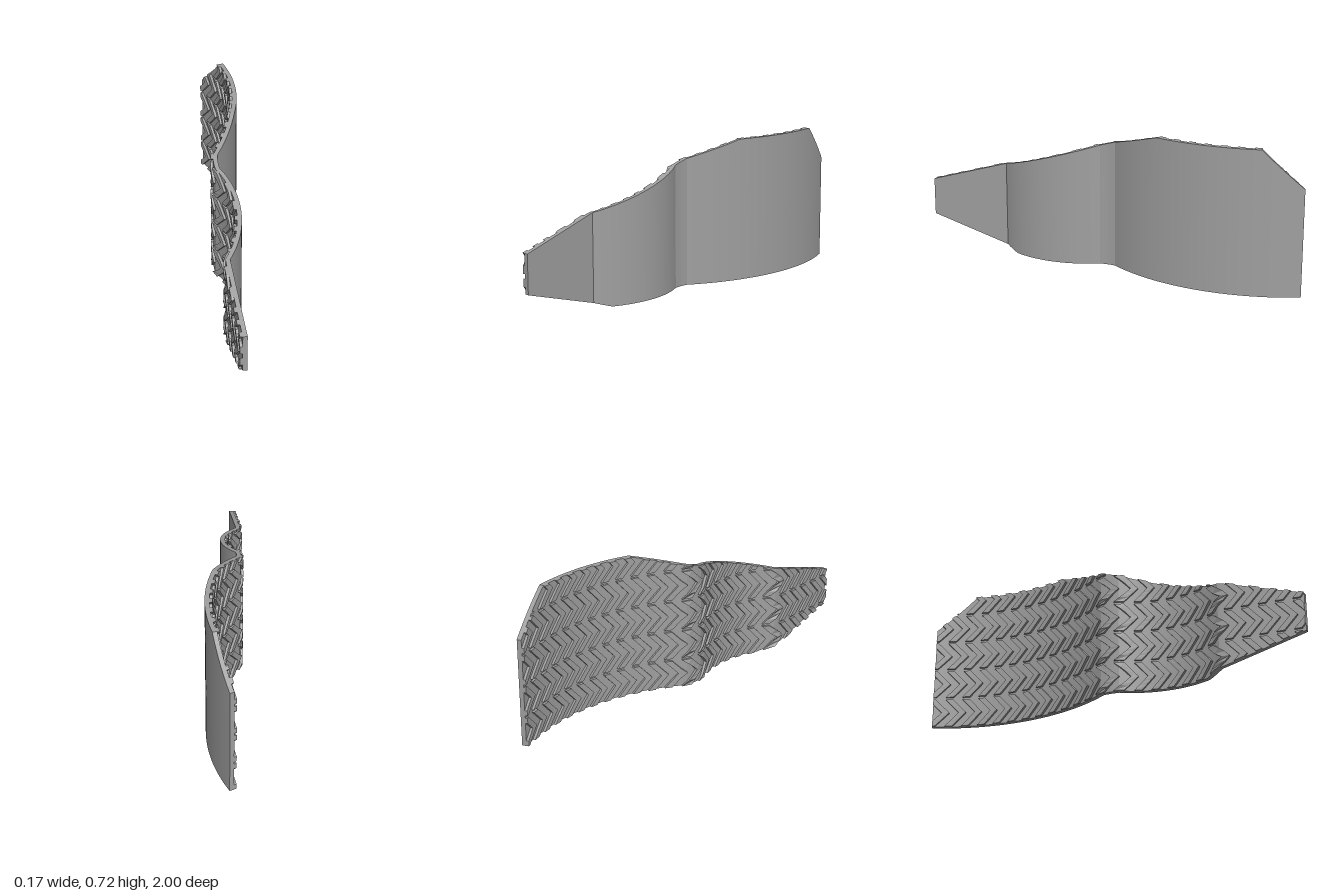
import * as THREE from 'three';
import { mergeGeometries, toCreasedNormals } from 'three/addons/utils/BufferGeometryUtils.js';

const THICK = 0.022;      // panel thickness
const RIB = 0.0125;       // how far the ribs stand out
const clamp = THREE.MathUtils.clamp;

// Side outline as (z, y), convex and counter-clockwise
const OUTLINE = [[-1, 0], [0.51, 0], [1, 0.147], [1, 0.337], [-0.285, 0.722], [-0.81, 0.722], [-1, 0.535]];

// x of the smooth face along z: large arc, rounded valley, small arc, straight tail
function profile(z) {
  if (z < -0.02) return 0.083 - (1 - Math.sqrt(1 - (z + 0.52) ** 2));
  if (z < 0.06) return -0.0505 - 0.003 * Math.sin(Math.PI * (z + 0.02) / 0.08) + 0.005 * (z + 0.02) / 0.08;
  if (z < 0.59) return 0.035 - (0.49 - Math.sqrt(0.2401 - (z - 0.33) ** 2));
  return -0.04 + 0.042 * (z - 0.59) / 0.41;
}

// Point at a given depth behind the smooth face
function bend(z, y, depth) {
  const e = 0.015;
  const a = Math.max(z - e, -1), b = Math.min(z + e, 1);
  const slope = (profile(b) - profile(a)) / (b - a);
  const len = Math.hypot(1, slope);
  return [profile(z) - depth / len, y, clamp(z + depth * slope / len, -1, 1)];
}

const topY = z => Math.min(0.722, 0.337 + (1 - z) * 0.2996, 0.535 + (z + 1) * 0.984);
const bottomY = z => Math.max(0, (z - 0.51) * 0.3);

// Curved panel from rectangular sections along z
function panelGeometry() {
  const pos = [], index = [];
  const steps = 200;
  for (let i = 0; i <= steps; i++) {
    const z = -1 + 2 * i / steps;
    const lo = bottomY(z), hi = topY(z);
    pos.push(...bend(z, lo, 0), ...bend(z, hi, 0), ...bend(z, hi, THICK), ...bend(z, lo, THICK));
  }
  for (let i = 0; i < steps; i++) {
    for (let k = 0; k < 4; k++) {
      const a = i * 4 + k, b = i * 4 + (k + 1) % 4;
      index.push(a, b, b + 4, a, b + 4, a + 4);
    }
  }
  const n = steps * 4;
  index.push(0, 2, 1, 0, 3, 2, n, n + 1, n + 2, n, n + 2, n + 3);
  const g = new THREE.BufferGeometry();
  g.setAttribute('position', new THREE.Float32BufferAttribute(pos, 3));
  g.setIndex(index);
  return toCreasedNormals(g, 0.35);
}

// Trim a polygon to the side outline
function clip(poly) {
  OUTLINE.forEach((a, i) => {
    const b = OUTLINE[(i + 1) % OUTLINE.length];
    const side = p => (b[0] - a[0]) * (p[1] - a[1]) - (b[1] - a[1]) * (p[0] - a[0]);
    const out = [];
    poly.forEach((p, j) => {
      const q = poly[(j + 1) % poly.length];
      const sp = side(p), sq = side(q);
      if (sp >= 0) out.push(p);
      if (sp * sq < 0) {
        const t = sp / (sp - sq);
        out.push([p[0] + (q[0] - p[0]) * t, p[1] + (q[1] - p[1]) * t]);
      }
    });
    poly = out;
  });
  return poly;
}

// Flat piece extruded, then bent onto the rough face
function ribPiece(poly) {
  const shape = new THREE.Shape(poly.map(p => new THREE.Vector2(p[0], p[1])));
  const g = new THREE.ExtrudeGeometry(shape, { depth: 1, bevelEnabled: false });
  const p = g.attributes.position;
  for (let i = 0; i < p.count; i++) {
    const depth = p.getZ(i) > 0.5 ? THICK + RIB : THICK - 0.003;
    p.setXYZ(i, ...bend(p.getX(i), p.getY(i), depth));
  }
  g.computeVertexNormals();
  return g;
}

// One row of chevrons pointing to the front
function ribRow(y0, height) {
  const pitch = 0.082, width = 0.036, lean = 0.066, slices = 6;
  const pieces = [];
  const offset = t => -lean * Math.abs(2 * t - 1);
  for (let z = -1.04; z < 1.1; z += pitch) {
    for (let s = 0; s < slices; s++) {
      const t0 = s / slices, t1 = (s + 1) / slices;
      const za = z + offset(t0), zb = z + offset(t1);
      const ya = y0 + height * t0, yb = y0 + height * t1;
      const poly = clip([[za, ya], [za + width, ya], [zb + width, yb], [zb, yb]]);
      if (poly.length > 2) pieces.push(ribPiece(poly));
    }
  }
  return mergeGeometries(pieces);
}

export function createModel() {
  const group = new THREE.Group();
  group.name = 'curvedRibbedPanel';
  const grey = new THREE.MeshStandardMaterial({ color: 0xa0a0a0 });
  grey.name = 'grey';

  const panel = new THREE.Mesh(panelGeometry(), grey);
  panel.name = 'panel';
  group.add(panel);

  // Five rows of ribs, the top one trimmed by the outline
  for (let r = 0; r < 5; r++) {
    const row = new THREE.Mesh(ribRow(0.001 + r * 0.1565, 0.144), grey);
    row.name = 'chevronRow' + (r + 1);
    group.add(row);
  }
  return group;
}
